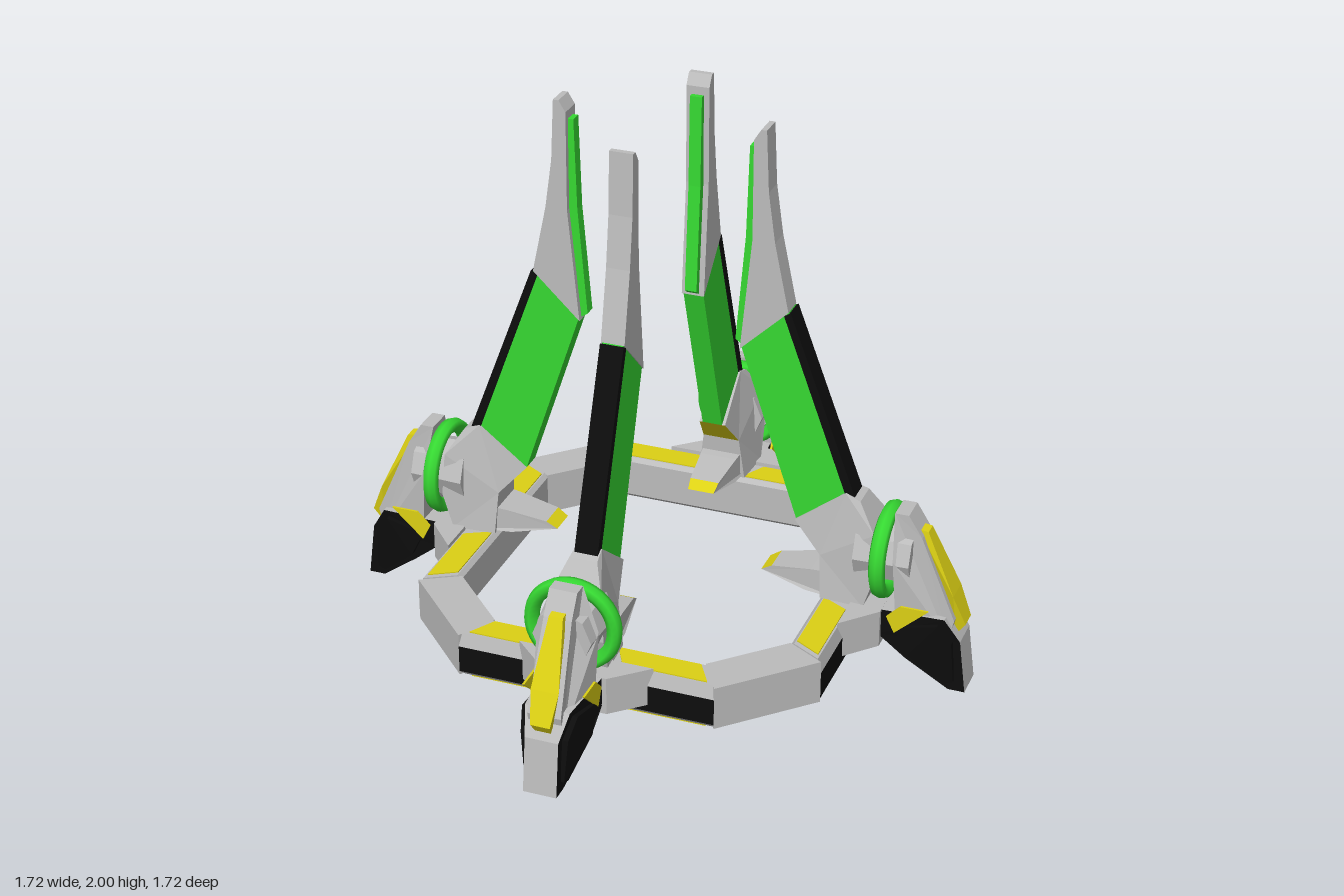
import * as THREE from 'three';

const mat = (name, color, extra = {}) => Object.assign(new THREE.MeshStandardMaterial({ color, ...extra }), { name });

// Solid from a counter-clockwise side profile of [radius, height, halfWidth] points.
// The first material covers the two sides; edgeMats overrides single edge faces.
function prism(name, pts, sideMat, rimMat = sideMat, edgeMats = {}) {
  const geo = new THREE.BufferGeometry();
  const pos = [];
  const mats = [sideMat, rimMat];
  const at = (i, s) => [pts[i][0], pts[i][1], s * pts[i][2]];
  const group = (m, start) => {
    if (!mats.includes(m)) mats.push(m);
    geo.addGroup(start, pos.length / 3 - start, mats.indexOf(m));
  };
  const contour = pts.map(p => new THREE.Vector2(p[0], p[1]));
  for (const [a, b, c] of THREE.ShapeUtils.triangulateShape(contour, [])) {
    pos.push(...at(a, 1), ...at(b, 1), ...at(c, 1));
    pos.push(...at(a, -1), ...at(c, -1), ...at(b, -1));
  }
  group(sideMat, 0);
  pts.forEach((_, i) => {
    const j = (i + 1) % pts.length;
    const start = pos.length / 3;
    pos.push(...at(i, 1), ...at(i, -1), ...at(j, -1), ...at(i, 1), ...at(j, -1), ...at(j, 1));
    group(edgeMats[i] || rimMat, start);
  });
  geo.setAttribute('position', new THREE.Float32BufferAttribute(pos, 3));
  geo.computeVertexNormals();
  const mesh = new THREE.Mesh(geo, mats);
  mesh.name = name;
  return mesh;
}

// Profile with one shared half width
const flat = (w, pts) => pts.map(([r, y]) => [r, y, w]);

// Thin horizontal panel from [radius, tangent] corners, with its top at height y
function panel(name, corners, y, material) {
  const shape = new THREE.Shape(corners.map(c => new THREE.Vector2(...c)));
  const geo = new THREE.ExtrudeGeometry(shape, { depth: 0.006, bevelEnabled: false });
  geo.rotateX(Math.PI / 2);
  const mesh = new THREE.Mesh(geo, material);
  mesh.position.y = y;
  mesh.name = name;
  return mesh;
}

export function createModel() {
  const grey = mat('metal grey', 0xbcbcbc);
  const black = mat('panel black', 0x0d0d0d);
  const green = mat('glow green', 0x36d832);
  const yellow = mat('trim yellow', 0xdcd014);

  const model = new THREE.Group();
  model.name = 'pylonRing';

  // Straight side of the octagonal base
  function straightSide() {
    return prism('straightSide', [
      [0.71, 0.12, 0.16], [0.86, 0.12, 0.2], [0.86, 0.28, 0.2], [0.71, 0.28, 0.16],
    ], grey);
  }

  // Diagonal side with mitred ends, yellow panels and a mounting bracket
  function diagonalSide() {
    const g = new THREE.Group();
    g.name = 'diagonalSide';
    const profile = [
      [0.615, 0.13], [0.63, 0.115], [0.73, 0.115], [0.75, 0.135],
      [0.75, 0.235], [0.735, 0.285], [0.63, 0.285], [0.615, 0.27],
    ].map(([r, y]) => [r, y, 0.389 + (r - 0.615) * 0.578]);
    g.add(prism('diagonalBeam', profile, grey, grey, { 3: black }));
    for (const s of [1, -1]) {
      g.add(panel('topPanel', [[0.635, 0.08 * s], [0.635, 0.38 * s], [0.728, 0.435 * s], [0.728, 0.13 * s]], 0.289, yellow));
    }
    g.add(panel('bottomPanel', [[0.64, -0.38], [0.73, -0.43], [0.73, 0.43], [0.64, 0.38]], 0.117, yellow));
    g.add(prism('bracket', [
      [0.735, 0.16, 0.245], [0.85, 0.16, 0.12], [0.85, 0.3, 0.12], [0.735, 0.3, 0.245],
    ], grey, grey, { 0: black }));
    return g;
  }

  // Tall blade: green lower wing with black spine, grey upper fin with green edge
  function blade() {
    const g = new THREE.Group();
    g.name = 'blade';
    g.add(prism('lowerWing', flat(0.038, [[0.51, 0.56], [0.72, 0.67], [0.467, 1.35], [0.297, 1.2]]), green));
    g.add(prism('spine', flat(0.042, [[0.695, 0.67], [0.725, 0.68], [0.475, 1.35], [0.452, 1.335]]), black));
    g.add(prism('upperFin', flat(0.042, [
      [0.295, 1.185], [0.467, 1.35], [0.415, 1.6], [0.39, 1.78],
      [0.38, 2], [0.36, 2], [0.335, 1.96], [0.335, 1.6],
    ]), grey));
    g.add(prism('finEdge', flat(0.022, [
      [0.272, 1.21], [0.3, 1.19], [0.345, 1.6], [0.345, 1.93], [0.315, 1.93], [0.305, 1.6],
    ]), green));
    return g;
  }

  // Neck under the blade, inward claw and axle
  function neck() {
    const g = new THREE.Group();
    g.name = 'neck';
    g.add(prism('neckBody', [
      [0.62, 0.29, 0.09], [0.78, 0.29, 0.1], [0.82, 0.42, 0.1], [0.81, 0.58, 0.09],
      [0.745, 0.68, 0.05], [0.69, 0.7, 0.045], [0.51, 0.56, 0.05], [0.61, 0.45, 0.07],
    ], grey, grey, { 6: yellow }));
    g.add(prism('claw', [
      [0.39, 0.335, 0.05], [0.56, 0.3, 0.075], [0.72, 0.29, 0.085],
      [0.72, 0.4, 0.085], [0.58, 0.385, 0.07], [0.43, 0.36, 0.055],
    ], grey, grey, { 0: yellow, 1: yellow, 5: yellow }));
    const axle = new THREE.CylinderGeometry(0.105, 0.115, 0.2, 8).toNonIndexed();
    axle.rotateZ(-Math.PI / 2);
    axle.computeVertexNormals();
    const axleMesh = new THREE.Mesh(axle, grey);
    axleMesh.position.set(0.84, 0.485, 0);
    axleMesh.name = 'axle';
    g.add(axleMesh);
    return g;
  }

  // Smooth green hoop around the axle
  function hoop() {
    const profile = [
      [0.125, -0.012], [0.15, -0.03], [0.168, -0.022], [0.175, 0],
      [0.168, 0.022], [0.15, 0.03], [0.125, 0.012], [0.125, -0.012],
    ].map(p => new THREE.Vector2(...p));
    const geo = new THREE.LatheGeometry(profile, 40);
    geo.rotateZ(-Math.PI / 2);
    const mesh = new THREE.Mesh(geo, green);
    mesh.position.set(0.84, 0.485, 0);
    mesh.name = 'hoop';
    return mesh;
  }

  // Outer shield with yellow ridge, and the foot with black cheeks
  function shieldAndFoot() {
    const g = new THREE.Group();
    g.name = 'shieldAndFoot';
    g.add(prism('shield', [
      [0.9, 0.27, 0.1], [1.08, 0.2, 0.06], [1.1, 0.28, 0.06], [0.97, 0.58, 0.05],
      [0.92, 0.66, 0.05], [0.87, 0.66, 0.05], [0.885, 0.5, 0.11],
    ], grey));
    g.add(prism('shieldRidge', [
      [0.95, 0.6, 0.025], [1.06, 0.28, 0.045], [1.1, 0.21, 0.025],
      [1.135, 0.26, 0.035], [1.09, 0.37, 0.05], [0.985, 0.595, 0.025],
    ], yellow));
    for (const s of [1, -1]) {
      const tab = prism('sideTab', flat(0.004, [[0.87, 0.28], [0.9, 0.22], [1.02, 0.33], [0.92, 0.33]]), yellow);
      tab.position.z = 0.108 * s;
      g.add(tab);
    }
    g.add(prism('foot', [
      [0.84, 0.2, 0.105], [0.94, 0.12, 0.1], [1.09, 0, 0.06], [1.15, 0, 0.06],
      [1.125, 0.2, 0.06], [1.07, 0.29, 0.08], [0.84, 0.3, 0.105],
    ], black, grey));
    g.add(prism('footCheek', [
      [0.95, 0.14, 0.11], [1.08, 0.03, 0.075], [1.11, 0.04, 0.072],
      [1.1, 0.2, 0.085], [1.05, 0.27, 0.1], [0.9, 0.24, 0.112],
    ], black, black, { 0: grey }));
    return g;
  }

  // Four identical quarters
  for (let k = 0; k < 4; k++) {
    const side = straightSide();
    side.rotation.y = k * Math.PI / 2;
    const corner = new THREE.Group();
    corner.name = 'cornerPylon';
    corner.add(diagonalSide(), blade(), neck(), hoop(), shieldAndFoot());
    corner.rotation.y = -Math.PI / 4 - k * Math.PI / 2;
    model.add(side, corner);
  }
  return model;
}
